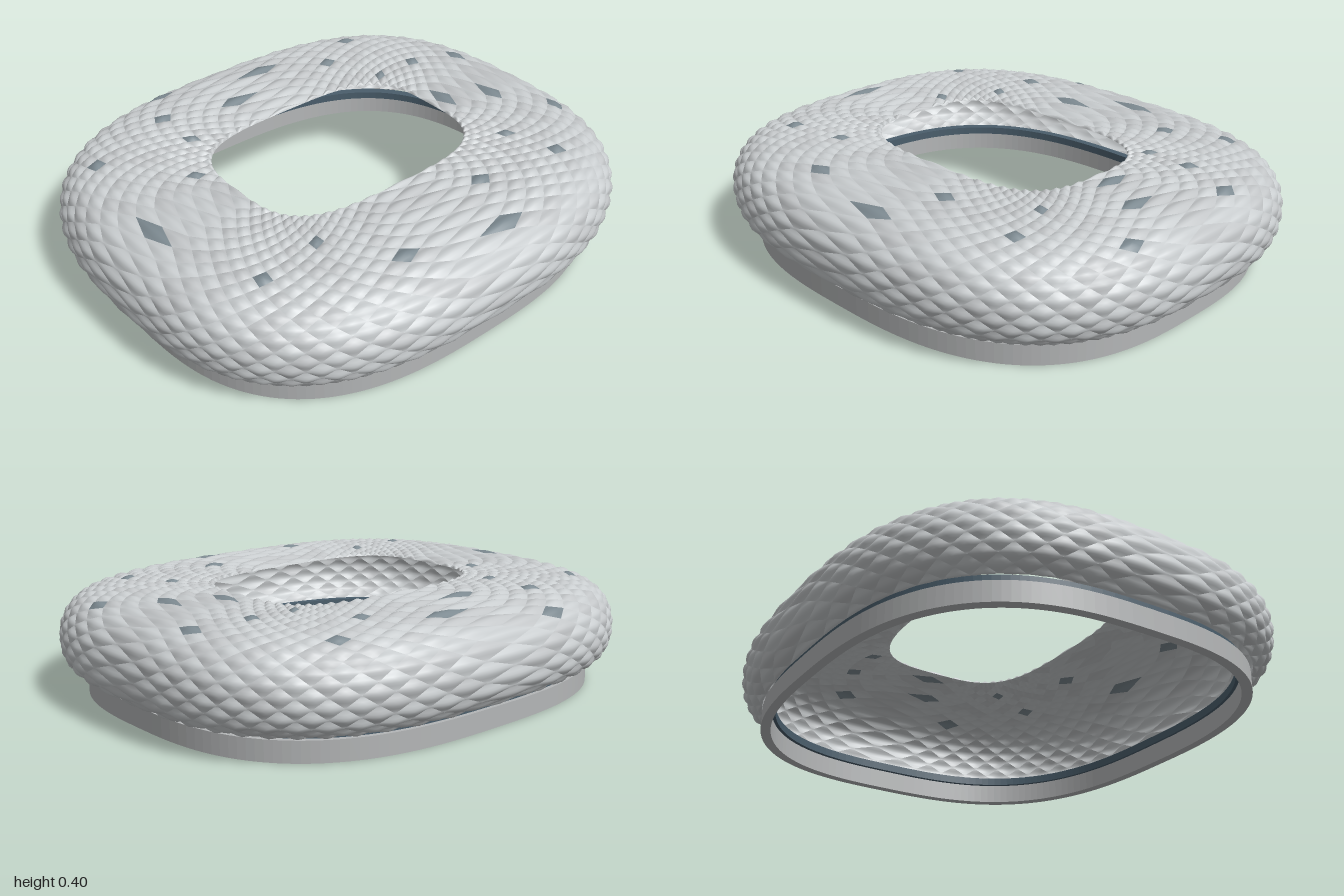
import * as THREE from 'three';
import { mergeGeometries } from 'three/addons/utils/BufferGeometryUtils.js';

const COLUMNS = 48; // panels around
const ROWS = 22;    // half-panel rows from the skirt to the roof opening
const BULGE = 0.011;

// Point on a superellipse with half axes a, b and exponent n.
function superellipse(a, b, n, t) {
  const c = Math.cos(t), s = Math.sin(t);
  const p = (v) => (Math.abs(v) < 1e-9 ? 0 : Math.sign(v) * Math.abs(v) ** (2 / n));
  return [a * p(c), b * p(s)];
}

// Shell section: x = inward offset from the widest line, y = height.
const section = new THREE.CatmullRomCurve3([
  [0.085, 0.09], [0.03, 0.125], [0.006, 0.21], [0.022, 0.29], [0.075, 0.348],
  [0.17, 0.378], [0.3, 0.389], [0.42, 0.39], [0.545, 0.385],
].map(([x, y]) => new THREE.Vector3(x, y, 0)));
const levels = Array.from({ length: ROWS + 1 }, (_, j) => section.getPointAt(j / ROWS));

// Corner of the diagonal grid; rows beyond either rim are clamped to it.
function gridPoint(i, j) {
  const { x: inset, y } = levels[THREE.MathUtils.clamp(j, 0, ROWS)];
  const n = 2.75 + 0.7 * (inset / 0.545);
  const [x, z] = superellipse(0.87 - inset, 1 - inset * 0.982, n, (i * Math.PI) / COLUMNS);
  return new THREE.Vector3(x, y, z);
}

// One pillow-shaped diamond panel around grid node (i, j).
function panelGeometry(i, j) {
  const bottom = gridPoint(i, j - 1), top = gridPoint(i, j + 1);
  const left = gridPoint(i - 1, j), right = gridPoint(i + 1, j);
  const normal = top.clone().sub(bottom).cross(right.clone().sub(left)).normalize();
  const K = 4, positions = [], index = [];
  for (let a = 0; a <= K; a++) {
    for (let b = 0; b <= K; b++) {
      const u = a / K, v = b / K;
      const p = new THREE.Vector3()
        .addScaledVector(bottom, (1 - u) * (1 - v))
        .addScaledVector(left, u * (1 - v))
        .addScaledVector(right, (1 - u) * v)
        .addScaledVector(top, u * v)
        .addScaledVector(normal, BULGE * 16 * u * (1 - u) * v * (1 - v));
      positions.push(p.x, p.y, p.z);
      if (a < K && b < K) {
        const k = a * (K + 1) + b;
        index.push(k, k + K + 1, k + 1, k + 1, k + K + 1, k + K + 2);
      }
    }
  }
  const g = new THREE.BufferGeometry();
  g.setAttribute('position', new THREE.Float32BufferAttribute(positions, 3));
  g.setIndex(index);
  g.computeVertexNormals();
  return g;
}

// Flat-topped oval ring between heights y0 and y1.
function ringMesh(name, a, b, width, y0, y1, material) {
  const outline = (w) => Array.from({ length: 144 }, (_, k) =>
    new THREE.Vector2(...superellipse(a - w, b - w, 2.8, (k / 144) * Math.PI * 2)));
  const shape = new THREE.Shape(outline(0));
  shape.holes.push(new THREE.Path(outline(width)));
  const g = new THREE.ExtrudeGeometry(shape, { depth: y1 - y0, bevelEnabled: false });
  g.rotateX(-Math.PI / 2).translate(0, y0, 0);
  const mesh = new THREE.Mesh(g, material);
  mesh.name = name;
  return mesh;
}

// Roof positions (x, z) of the dark panels.
const darkSpots = [
  [-0.23, -0.86], [0.32, -0.88], [0.13, -0.73], [-0.3, -0.65], [0, -0.57], [-0.63, -0.57],
  [0.55, -0.59], [0.34, -0.54], [-0.29, -0.48], [-0.51, -0.34], [0.53, -0.24], [0.71, -0.14],
  [-0.67, -0.08], [-0.49, 0.06], [0.61, 0.25], [-0.77, 0.29], [-0.6, 0.38], [-0.39, 0.4],
  [0.41, 0.46], [-0.15, 0.53], [0.45, 0.67], [-0.5, 0.75], [0, 0.81],
];

export function createModel() {
  const group = new THREE.Group();
  const paint = (name, color, side = THREE.FrontSide) => {
    const m = new THREE.MeshStandardMaterial({ color, side });
    m.name = name;
    return m;
  };

  // Panel nodes form a checkerboard on the grid.
  const nodes = [];
  for (let j = 0; j <= ROWS; j++) {
    for (let i = j % 2; i < COLUMNS * 2; i += 2) nodes.push({ i, j, p: gridPoint(i, j), kind: 0 });
  }
  let seed = 7;
  for (const node of nodes) {
    seed = (seed * 16807) % 2147483647;
    node.kind = seed % 3 === 0 ? 1 : 0;
  }
  for (const [x, z] of darkSpots) {
    const distance = (n) => (n.p.y < 0.33 ? 9 : Math.hypot(n.p.x - x, n.p.z - z));
    nodes.reduce((best, n) => (distance(n) < distance(best) ? n : best)).kind = 2;
  }

  // Shell, one mesh per panel colour
  const shell = new THREE.Group();
  shell.name = 'panelShell';
  [['lightPanels', 0xc9cdcf], ['greyPanels', 0xc2c5c7], ['darkPanels', 0x7d8a91]].forEach(([name, color], kind) => {
    const parts = nodes.filter((n) => n.kind === kind).map((n) => panelGeometry(n.i, n.j));
    const mesh = new THREE.Mesh(mergeGeometries(parts), paint(name, color, THREE.DoubleSide));
    mesh.name = name;
    shell.add(mesh);
  });
  group.add(shell);

  // Plinth and the recessed band under the shell
  group.add(ringMesh('basePlinth', 0.79, 0.905, 0.035, 0, 0.075, paint('concreteGrey', 0xb4b6b7)));
  group.add(ringMesh('recessedBand', 0.775, 0.885, 0.03, 0.075, 0.105, paint('slateBlue', 0x4a5e6c)));
  return group;
}
